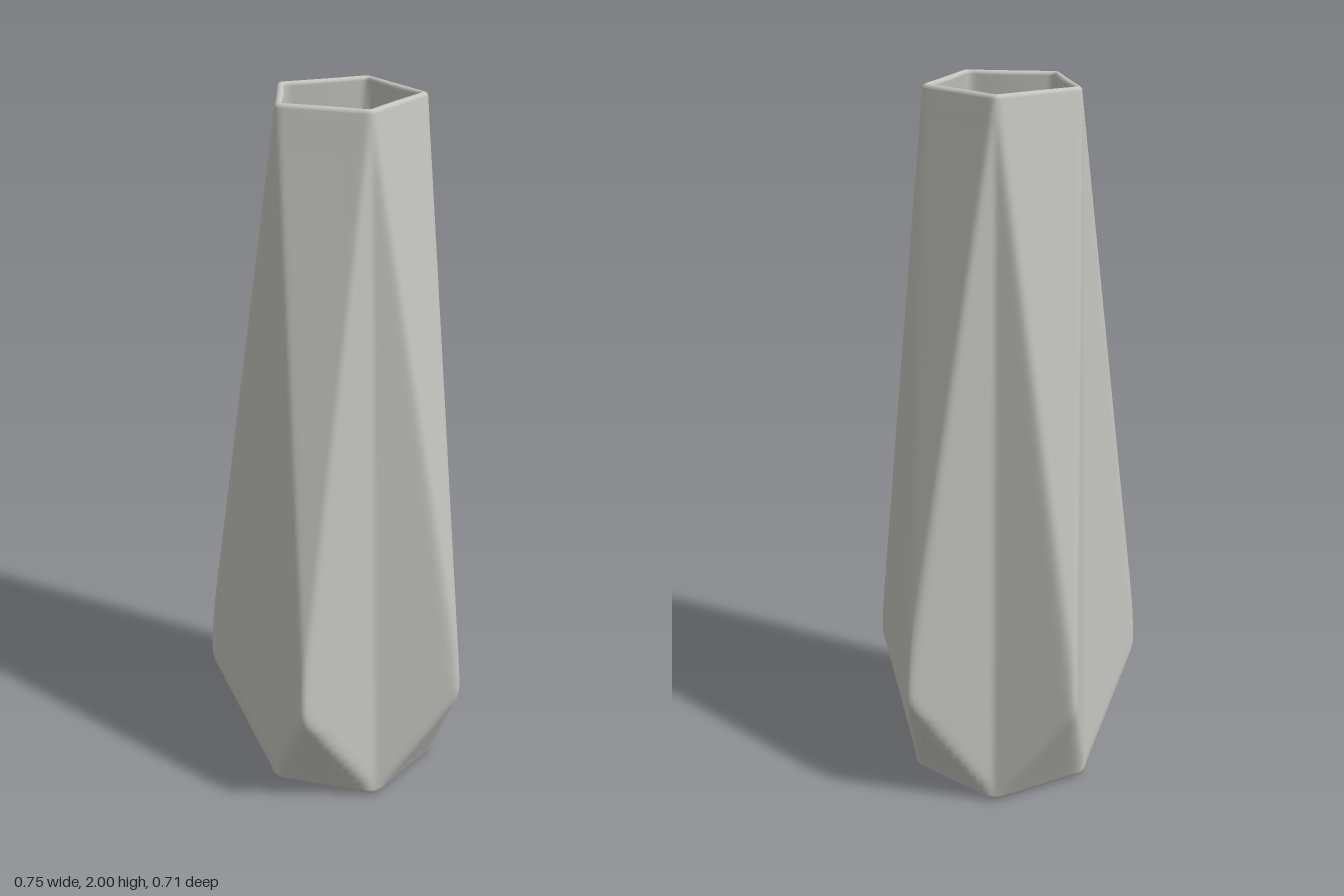
import * as THREE from 'three';

const HEIGHT = 2;
const TIP_Y = 0.34, TIP_R = 0.405;       // widest star points
const BASE_R = 0.26, TOP_R = 0.218;      // pentagon corner radii at foot and mouth
const WALL = 0.022, FOOT = 0.02;         // wall thickness, foot edge radius
const COLS = 300, SECTOR = Math.PI / 5;  // half of one of the five points

const lerp = THREE.MathUtils.lerp;
const C = Math.cos(SECTOR), S = Math.sin(SECTOR);

// Radius of the sharp faceted body at an angle (0 = star point) and height
function facetRadius(angle, y) {
  y = THREE.MathUtils.clamp(y, 0, HEIGHT);
  const a = Math.abs(angle - 2 * SECTOR * Math.round(angle / (2 * SECTOR)));
  // ridge from a star point to the neighbouring pentagon corner
  const corner = y < TIP_Y ? BASE_R : TOP_R;
  const t = y < TIP_Y ? 1 - y / TIP_Y : (y - TIP_Y) / (HEIGHT - TIP_Y);
  const px = lerp(TIP_R, corner * C, t), pz = corner * S * t;
  if (a <= Math.atan2(pz, px) + 1e-9) return px / Math.cos(a);
  // facet between the ridge and the valley line
  const v = lerp(BASE_R, TOP_R, y / HEIGHT);
  const dx = v * C - px, dz = v * S - pz;
  const den = Math.cos(a) * dz - Math.sin(a) * dx;
  return Math.abs(den) < 1e-9 ? v : (px * dz - pz * dx) / den;
}

// Soft edges: average the sharp radius over a small window
function softRadius(angle, y) {
  let sum = 0;
  for (let i = -3; i <= 3; i++)
    for (let j = -2; j <= 2; j++) sum += facetRadius(angle + i * 0.012, y + j * 0.014);
  return sum / 35;
}

// Rows of the shell: height, inward offset, scale toward the axis
function shellRows() {
  const rows = [[0, FOOT, 0], [0, FOOT, 0.5], [0, FOOT, 0.96]];
  for (let i = 0; i <= 5; i++) {                       // rounded foot
    const a = (i / 5) * Math.PI / 2;
    rows.push([FOOT * (1 - Math.cos(a)), FOOT * (1 - Math.sin(a)), 1]);
  }
  for (let y = 0.05; y < 0.28; y += 0.03) rows.push([y, 0, 1]);
  for (let y = 0.28; y < 0.405; y += 0.01) rows.push([y, 0, 1]);
  const top = HEIGHT - WALL / 2;
  for (let i = 1; i < 28; i++) rows.push([lerp(0.4, top, i / 28), 0, 1]);
  for (let i = 0; i <= 8; i++) {                       // rounded lip
    const a = (i / 8) * Math.PI;
    rows.push([top + Math.sin(a) * WALL / 2, (1 - Math.cos(a)) * WALL / 2, 1]);
  }
  for (let i = 1; i <= 20; i++) rows.push([lerp(top, 0.4, i / 20), WALL, 1]);
  for (const y of [0.37, 0.34, 0.31, 0.28, 0.2, 0.12, 0.05, 0.03]) rows.push([y, WALL, 1]);
  rows.push([0.025, WALL, 0.95], [0.025, WALL, 0.5], [0.025, WALL, 0]); // inner floor
  return rows;
}

function shellGeometry() {
  const rows = shellRows(), pos = [], idx = [];
  rows.forEach(([y, inset, scale], i) => {
    for (let k = 0; k < COLS; k++) {
      const a = (k / COLS) * Math.PI * 2;
      const r = (softRadius(a, y) - inset) * scale;
      pos.push(r * Math.sin(a), y, r * Math.cos(a));
      if (i === rows.length - 1) continue;
      const p = i * COLS + k, q = i * COLS + (k + 1) % COLS;
      idx.push(p, q, q + COLS, p, q + COLS, p + COLS);
    }
  });
  const geo = new THREE.BufferGeometry();
  geo.setAttribute('position', new THREE.Float32BufferAttribute(pos, 3));
  geo.setIndex(idx);
  geo.computeVertexNormals();
  return geo;
}

export function createModel() {
  const group = new THREE.Group();
  group.name = 'facetedVase';
  const ceramic = new THREE.MeshStandardMaterial({ color: 0xc4c4bf });
  ceramic.name = 'warm grey ceramic';
  const vase = new THREE.Mesh(shellGeometry(), ceramic);
  vase.name = 'vaseBody';
  vase.position.z = -0.036;
  group.add(vase);
  return group;
}
